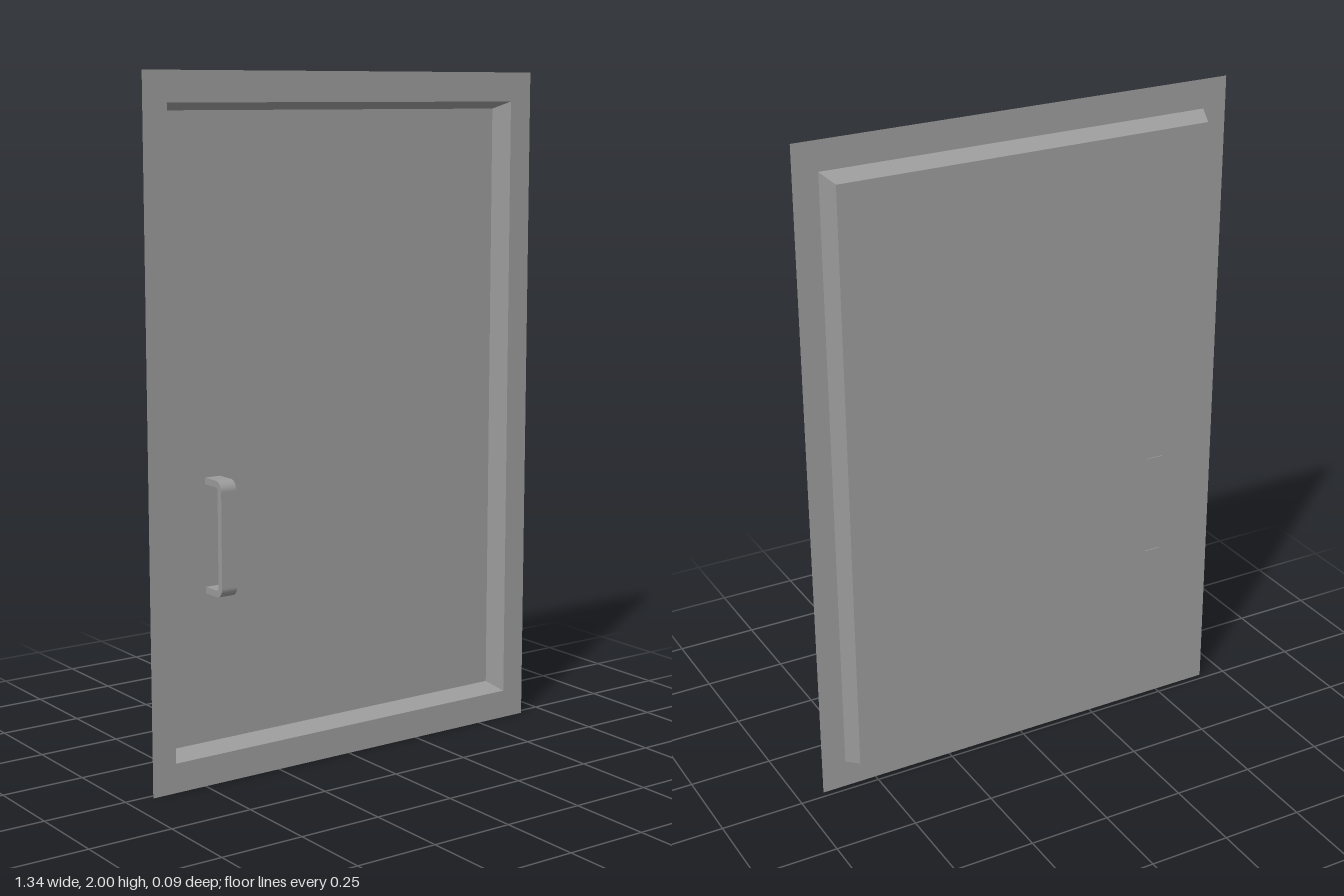
import * as THREE from 'three';

const FRONT = 0.019, BACK = -0.041, MID = 1;
const GREY = 0x9b9b9b;

// Rectangle corners, counter-clockwise seen from the front
const rect = (hw, hh, z) => [[-1, -1], [1, -1], [1, 1], [-1, 1]]
  .map(([sx, sy]) => [sx * hw, MID + sy * hh, z]);

// Four flat quads joining an outer rectangle to an inner one
function band(outer, inner) {
  const pos = [];
  for (let i = 0; i < 4; i++) {
    const j = (i + 1) % 4;
    pos.push(...outer[i], ...outer[j], ...inner[j], ...outer[i], ...inner[j], ...inner[i]);
  }
  const g = new THREE.BufferGeometry();
  g.setAttribute('position', new THREE.Float32BufferAttribute(pos, 3));
  g.computeVertexNormals();
  return g;
}

// Side outline of the handle: a U of thickness t with corners of radius r
function handleShape(back, front, bottom, top, t, r) {
  const s = new THREE.Shape();
  const ri = r - t;
  s.moveTo(back, bottom);
  s.lineTo(front - r, bottom);
  s.absarc(front - r, bottom + r, r, -Math.PI / 2, 0, false);
  s.lineTo(front, top - r);
  s.absarc(front - r, top - r, r, 0, Math.PI / 2, false);
  s.lineTo(back, top);
  s.lineTo(back, top - t);
  s.lineTo(front - r, top - t);
  s.absarc(front - r, top - r, ri, Math.PI / 2, 0, true);
  s.lineTo(front - t, bottom + r);
  s.absarc(front - r, bottom + r, ri, 0, -Math.PI / 2, true);
  s.lineTo(back, bottom + t);
  s.closePath();
  return s;
}

export function createModel() {
  const group = new THREE.Group();
  const sheet = new THREE.MeshStandardMaterial({ color: GREY, side: THREE.DoubleSide, flatShading: true });
  const solid = new THREE.MeshStandardMaterial({ color: GREY });
  const add = (name, geometry, material) => {
    const mesh = new THREE.Mesh(geometry, material);
    mesh.name = name;
    group.add(mesh);
  };

  // Thin sheet: flat border, sloping recess walls and recessed panel
  const opening = rect(0.597, 0.914, FRONT);
  add('borderFrame', band(rect(0.672, 1, FRONT), opening), sheet);
  add('recessWalls', band(opening, rect(0.575, 0.893, BACK)), sheet);
  add('doorPanel', new THREE.PlaneGeometry(1.15, 1.786).translate(0, MID, BACK), sheet);

  // Pull handle: side outline extruded across x, its ends just through the panel
  const handle = new THREE.ExtrudeGeometry(
    handleShape(-0.044, 0.044, 0.543, 0.876, 0.019, 0.029),
    { depth: 0.05, bevelEnabled: false, curveSegments: 8 });
  handle.rotateY(-Math.PI / 2).translate(-0.405, 0, 0);
  add('pullHandle', handle, solid);
  return group;
}
